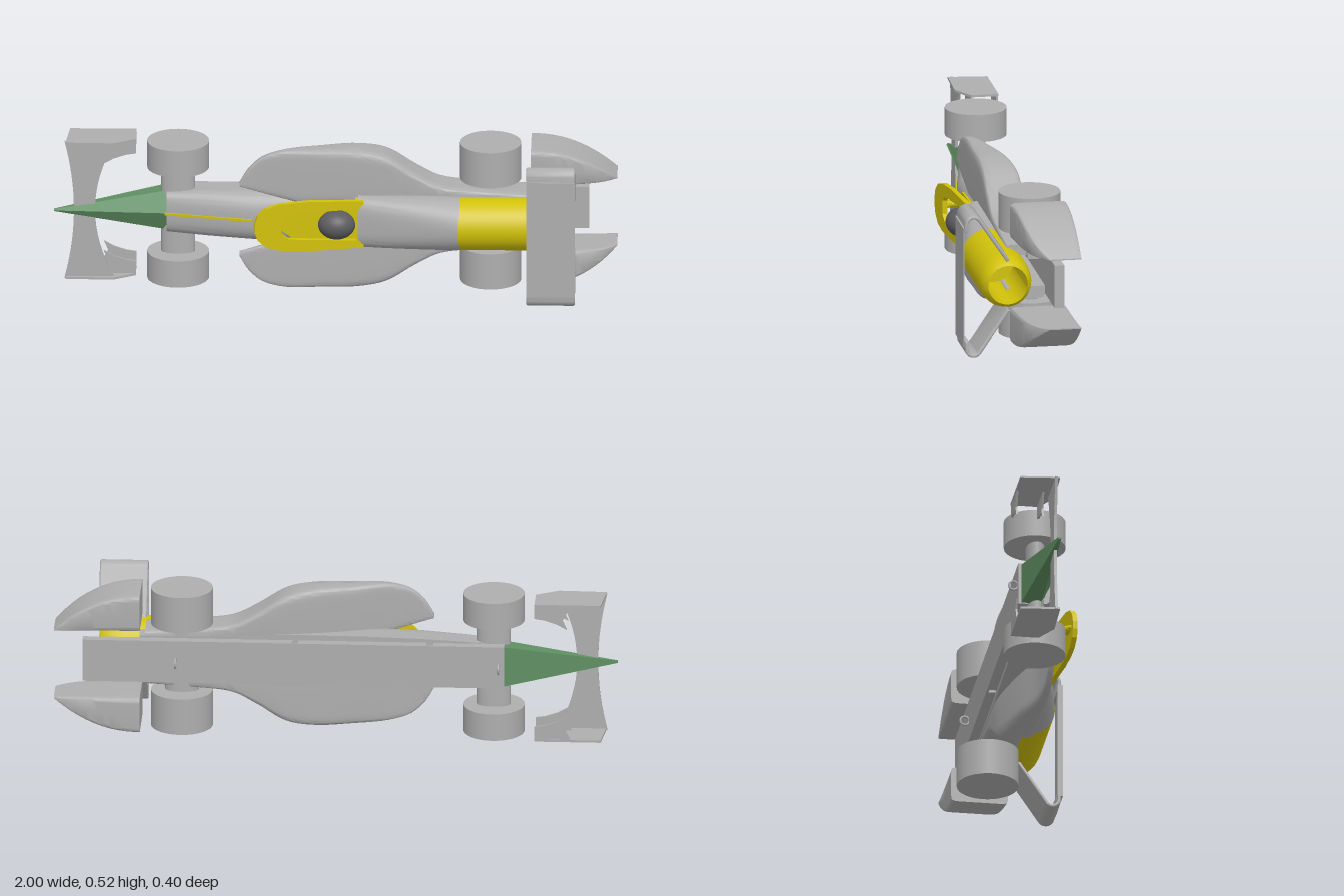
import * as THREE from 'three';
import { toCreasedNormals } from 'three/addons/utils/BufferGeometryUtils.js';

const mat = (color) => new THREE.MeshStandardMaterial({ color, side: THREE.DoubleSide });
const V = (x, y, z) => new THREE.Vector3(x, y, z);

export function createModel() {
  const model = new THREE.Group();
  const car = new THREE.Group(); // nose to -x, car's upper side to +z, width along y
  car.name = 'raceCar';
  car.position.y = 0.2625;
  model.add(car);
  const grey = mat(0xaeaeae), yellow = mat(0xd1c10a), green = mat(0x5f9063), dark = mat(0x5c5c60);

  const add = (name, geo, material = grey, x = 0, y = 0, z = 0) => {
    const mesh = new THREE.Mesh(geo, material);
    mesh.name = name;
    mesh.position.set(x, y, z);
    car.add(mesh);
    return mesh;
  };
  const box = (name, x0, x1, y0, y1, z0, z1, material) =>
    add(name, new THREE.BoxGeometry(x1 - x0, y1 - y0, z1 - z0), material,
      (x0 + x1) / 2, (y0 + y1) / 2, (z0 + z1) / 2);

  // Skin over rings running along +x, closed at both ends
  const loft = (rings, crease = 0.6) => {
    const pos = [], n = rings[0].length;
    const tri = (...p) => p.forEach((v) => pos.push(v.x, v.y, v.z));
    for (let i = 0; i < rings.length - 1; i++) {
      for (let j = 0; j < n; j++) {
        const k = (j + 1) % n, a = rings[i], b = rings[i + 1];
        tri(a[j], a[k], b[k]);
        tri(a[j], b[k], b[j]);
      }
    }
    [rings[0], rings[rings.length - 1]].forEach((ring, end) => {
      const c = ring.reduce((s, p) => s.add(p), V(0, 0, 0)).divideScalar(n);
      ring.forEach((p, j) => {
        const q = ring[(j + 1) % n];
        if (end) tri(c, p, q); else tri(c, q, p);
      });
    });
    const g = new THREE.BufferGeometry();
    g.setAttribute('position', new THREE.Float32BufferAttribute(pos, 3));
    return toCreasedNormals(g, crease);
  };
  // Rounded-rectangle ring; e = 2 is an ellipse, larger is squarer
  const ring = (x, y0, y1, z0, z1, e = 4, n = 48) => Array.from({ length: n }, (_, i) => {
    const a = (i / n) * Math.PI * 2, f = (v) => Math.sign(v) * Math.abs(v) ** (2 / e);
    return V(x, (y0 + y1) / 2 + f(Math.cos(a)) * (y1 - y0) / 2, (z0 + z1) / 2 + f(Math.sin(a)) * (z1 - z0) / 2);
  });
  // Same ring between an inner and an outer distance on side s
  const sideRing = (s, x, inner, outer, z0, z1, e) =>
    ring(x, Math.min(s * inner, s * outer), Math.max(s * inner, s * outer), z0, z1, e);
  // Upper half of a rounded ring on a flat base
  const dome = (x, hw, z0, z1) => ring(x, -hw, hw, 2 * z0 - z1, z1, 2.7).map((p) => p.setZ(Math.max(p.z, z0)));
  const rect = (x, y0, y1, z0, z1) => [V(x, y1, z0), V(x, y1, z1), V(x, y0, z1), V(x, y0, z0)];
  const flat = (points, depth, holes = [], bevel = 0) => {
    const s = new THREE.Shape(points.map((p) => new THREE.Vector2(...p)));
    s.holes = holes;
    return new THREE.ExtrudeGeometry(s, { depth, bevelEnabled: bevel > 0,
      bevelSize: bevel, bevelThickness: bevel, bevelOffset: -bevel, bevelSegments: 4 });
  };

  // Nose cone with a ridge along its top
  const wedge = (x, hw, z0, zMid, z1) =>
    [V(x, hw, z0), V(x, hw, zMid), V(x, 0, z1), V(x, -hw, zMid), V(x, -hw, z0)];
  add('noseCone', loft([wedge(-1, 0.004, -0.072, -0.067, -0.062),
    wedge(-0.6, 0.074, -0.145, -0.075, -0.04)], 0.1), green);

  // Front body: smooth upper part over two walls that leave a tunnel between them
  const body = [[-0.6, 0.074, -0.036], [-0.45, 0.085, -0.005], [-0.3, 0.092, 0.022],
    [-0.1, 0.097, 0.025], [0.15, 0.098, 0.03]];
  add('frontBody', loft(body.map(([x, hw, z]) => dome(x, hw, -0.06, z))));
  [-1, 1].forEach((s) => add('bodyWall', loft([...body, [0.7, 0.085]].map(([x, hw]) =>
    rect(x, Math.min(s * 0.05, s * hw), Math.max(s * 0.05, s * hw), -0.122, -0.058)), 0.3)));
  box('ridgeStripe', -0.16, 0.16, -0.004, 0.004, -0.004, 0.004, yellow).rotation.y = -0.195;
  car.children[car.children.length - 1].position.set(-0.45, 0, -0.005);

  // Side pods: wide in the middle, undercut in front, tucked in at the rear
  const plan = new THREE.CatmullRomCurve3([
    [-0.34, 0.14, -0.002], [-0.31, 0.19, -0.004], [-0.26, 0.235, -0.01], [-0.18, 0.258, -0.025],
    [-0.05, 0.26, -0.068], [0.08, 0.258, -0.1], [0.18, 0.237, -0.117], [0.28, 0.175, -0.12],
    [0.37, 0.128, -0.12], [0.5, 0.112, -0.12], [0.68, 0.1, -0.12]].map((p) => V(...p)));
  [-1, 1].forEach((s) => add('sidePod', loft(plan.getPoints(50).map((p) =>
    sideRing(s, p.x, Math.max(0.06, 0.125 - (p.x + 0.34) * 0.3), p.y, p.z, 0.016, 7)))));

  // Engine cover growing into the rear tube
  add('engineCover', loft([0, 0.25, 0.5, 0.75, 1].map((t) => {
    const m = THREE.MathUtils.lerp;
    return ring(m(0.08, 0.44, t), -0.096, 0.096, -0.057, m(0.06, 0.133, t ** 0.9), m(3.5, 2, t));
  }), 0.9));
  const tube = new THREE.LatheGeometry([[0.095, 0.435], [0.095, 0.76], [0.092, 0.8], [0.083, 0.835],
    [0.071, 0.848], [0.071, 0.55], [0, 0.55]].map((p) => new THREE.Vector2(...p)), 48);
  tube.rotateZ(-Math.PI / 2);
  add('exhaustTube', toCreasedNormals(tube, 0.7), yellow, 0, 0, 0.038);

  // Floor plank on spacers, with two screw eyes
  box('floorPlank', -0.6, 0.9, -0.078, 0.078, -0.156, -0.148);
  [[-0.6, -0.345], [-0.32, 0.135], [0.155, 0.9]].forEach(([a, b]) =>
    box('floorSpacer', a, b, -0.078, 0.078, -0.149, -0.121));
  [-0.58, 0.57].forEach((x) => {
    const eye = add('screwEye', new THREE.TorusGeometry(0.016, 0.004, 10, 28), grey, x, 0, -0.17);
    eye.rotation.y = Math.PI / 2;
  });

  // Cockpit: sloping surround with an opening, pillar, tub floor and helmet
  const half = [[0.1, 0.088], [-0.1, 0.094], [-0.2, 0.088], [-0.25, 0.073], [-0.28, 0.045], [-0.29, 0.015]];
  const mirrorY = (pts) => [...pts, ...pts.map(([x, y]) => [x, -y]).reverse()];
  const hole = new THREE.Path(mirrorY([[0.075, 0.06], [-0.12, 0.05], [-0.17, 0.045], [-0.195, 0.025]])
    .map((p) => new THREE.Vector2(...p)));
  add('cockpitSurround', flat(mirrorY(half), 0.018, [hole]), yellow, 0, 0, 0.05).rotation.y = 0.13;
  box('cockpitRear', 0.07, 0.1, -0.088, 0.088, 0.015, 0.05, yellow);
  add('cockpitFloor', flat(mirrorY([[0.09, 0.075], [-0.15, 0.065], [-0.2, 0.03]]), 0.008), yellow, 0, 0, 0.022);
  add('cockpitPillar', loft([ring(0, -0.012, 0.012, -0.024, 0.024, 2, 20),
    ring(0.04, -0.012, 0.012, -0.013, 0.013, 2, 20), ring(0.075, -0.015, 0.015, -0.04, 0.04, 2, 20)]),
  yellow, -0.235, 0, 0.015).rotation.y = -Math.PI / 2;
  const helmet = add('helmet', new THREE.SphereGeometry(0.055, 32, 20), dark, 0.005, 0, 0.06);
  helmet.scale.set(1.2, 0.95, 1);

  // Wheels (wider at the rear) and flattened axle fairings
  [[-0.56, 0.1], [0.55, 0.134]].forEach(([x, width]) => [-1, 1].forEach((s) => {
    add('axle', new THREE.CylinderGeometry(0.06, 0.06, 0.13, 32), grey, x, s * 0.12, -0.09).scale.z = 0.55;
    add('wheel', new THREE.CylinderGeometry(0.11, 0.11, width, 48), grey, x, s * (0.26 - width / 2), -0.091);
  }));

  // Tapering fairings behind the rear wheels
  [-1, 1].forEach((s) => {
    const rings = Array.from({ length: 17 }, (_, i) => {
      const t = i / 16, w = 0.004 + 0.128 * (1 - t ** 2.2);
      return sideRing(s, 0.695 + 0.305 * t, 0.126, 0.126 + w, -0.2, 0.004 - 0.03 * t - 0.06 * t ** 5, 12);
    });
    add('rearFairing', loft(rings));
  });

  // Rear wing: wedge-shaped top plate whose rounded ends fold down to the tube
  const line = [[0.09, 0.038]];
  for (let i = 0; i <= 12; i++) {
    const a = THREE.MathUtils.lerp(-1, Math.PI / 2, i / 12);
    line.push([0.23 + 0.025 * Math.cos(a), 0.162 + 0.025 * Math.sin(a)]);
  }
  line.push([0.2, 0.187]);
  const side = (d) => line.map((p, i) => {
    const a = line[Math.max(i - 1, 0)], b = line[Math.min(i + 1, line.length - 1)];
    const l = Math.hypot(b[0] - a[0], b[1] - a[1]);
    return [p[0] + d * (b[1] - a[1]) / l, p[1] - d * (b[0] - a[0]) / l];
  });
  const turn = new THREE.Matrix4().makeBasis(V(0, 1, 0), V(0, 0, 1), V(1, 0, 0));
  [-1, 1].forEach((s) => {
    const pts = [...side(0.0065), ...side(-0.0065).reverse()].map(([y, z]) => [s * y, z]);
    const geo = flat(pts, 0.16, [], 0.006).applyMatrix4(turn);
    add('rearWingSupport', toCreasedNormals(geo, 0.7), grey, 0.688);
  });
  add('rearWingPlate', loft([rect(0.682, -0.218, 0.218, 0.179, 0.199),
    rect(0.854, -0.218, 0.218, 0.197, 0.2)], 0.3));

  // Front wing: swept blade, endplates, footplates and flaps
  const blade = [];
  for (let i = 0; i <= 33; i++) {
    const front = i <= 16, y = -0.26 + 0.52 * (front ? i : 33 - i) / 16, q = (y / 0.26) ** 2;
    blade.push([front ? -0.93 - 0.033 * q : -0.855 + 0.07 * q, y]);
  }
  add('frontWingBlade', flat(blade, 0.01), grey, 0, 0, -0.078);
  [-1, 1].forEach((s) => {
    const plate = flat([[-0.96, -0.06], [-0.945, -0.2], [-0.71, -0.2], [-0.71, -0.1], [-0.79, -0.055]], 0.008);
    add('frontEndplate', plate.rotateX(Math.PI / 2), grey, 0, s * 0.256 + 0.004, 0);
    const flap = flat([[-0.84, s * 0.258], [-0.71, s * 0.258], [-0.71, s * 0.205], [-0.745, s * 0.2],
      [-0.79, s * 0.185], [-0.825, s * 0.165], [-0.81, s * 0.2]], 0.007);
    add('frontFlap', flap, grey, 0, 0, -0.105);
    add('frontFootplate', flap.clone(), grey, 0, 0, -0.198);
  });
  return model;
}
